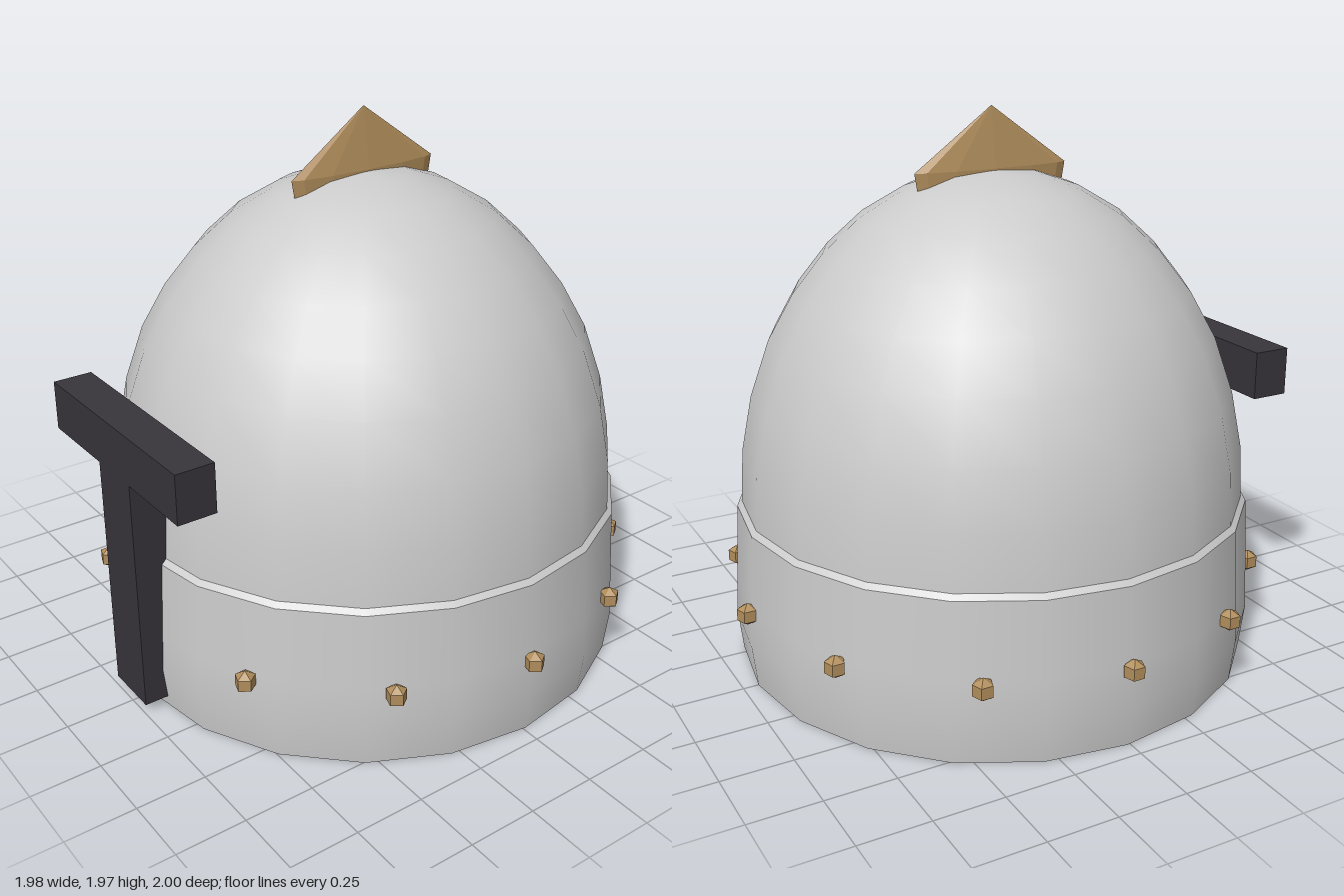
import * as THREE from 'three';

const SIDES = 20;
const mat = (color, flatShading = false) => new THREE.MeshStandardMaterial({ color, flatShading });
const pts = (list) => list.map(([x, y]) => new THREE.Vector2(x, y));

export function createModel() {
  const root = new THREE.Group();
  const helmet = new THREE.Group();
  helmet.name = 'helmet';
  helmet.position.set(-0.003, 0, -0.01);
  root.add(helmet);

  const steel = mat(0xcccccc);
  const brass = mat(0xb18e5c, true);
  const dark = mat(0x38343b);

  const add = (name, geometry, material, parent = helmet) => {
    const mesh = new THREE.Mesh(geometry, material);
    mesh.name = name;
    parent.add(mesh);
    return mesh;
  };
  const lathe = (name, profile) => add(name, new THREE.LatheGeometry(pts(profile), SIDES), steel);

  // Rounded skull of the helmet
  lathe('dome', [[0.912, 0.585], [0.9, 0.78], [0.86, 0.98], [0.79, 1.18], [0.7, 1.34],
    [0.59, 1.48], [0.46, 1.6], [0.31, 1.69], [0.16, 1.742], [0, 1.757]]);

  // Brow band: outer wall, top lip and bottom rim kept separate for sharp edges
  lathe('bandWall', [[0.935, 0], [0.952, 0.15], [0.944, 0.3], [0.929, 0.57]]);
  lathe('bandLip', [[0.929, 0.57], [0.908, 0.592]]);
  lathe('bandRim', [[0.9, 0], [0.935, 0]]);

  // Dark underside closing the helmet
  add('underside', new THREE.CircleGeometry(0.9, SIDES).rotateX(Math.PI / 2), mat(0x1c1a1e));

  // T-shaped face slot
  const slot = new THREE.Shape(pts([[-0.104, 0.04], [0.104, 0.04], [0.104, 0.9], [0.42, 0.9],
    [0.42, 1.076], [-0.42, 1.076], [-0.42, 0.9], [-0.104, 0.9]]));
  add('faceSlot', new THREE.ExtrudeGeometry(slot, { depth: 0.14, bevelEnabled: false }), dark)
    .position.z = 0.87;

  // Brass studs round the band, leaving the front free
  const studs = new THREE.Group();
  studs.name = 'studs';
  helmet.add(studs);
  const studGeometry = new THREE.SphereGeometry(0.041, 5, 3).rotateY(Math.PI);
  for (let i = 1; i < 12; i++) {
    const a = (i * Math.PI) / 6;
    add('stud', studGeometry, brass, studs)
      .position.set(Math.sin(a) * 0.96, 0.287, Math.cos(a) * 0.96);
  }

  // Thin crest: a flattened cone with a short skirt sunk into the dome
  const crest = new THREE.LatheGeometry(pts([[0.27, 1.62], [0.294, 1.76], [0, 1.972]]), 12);
  crest.scale(0.115, 1, 1);
  add('crest', crest, brass);

  return root;
}
